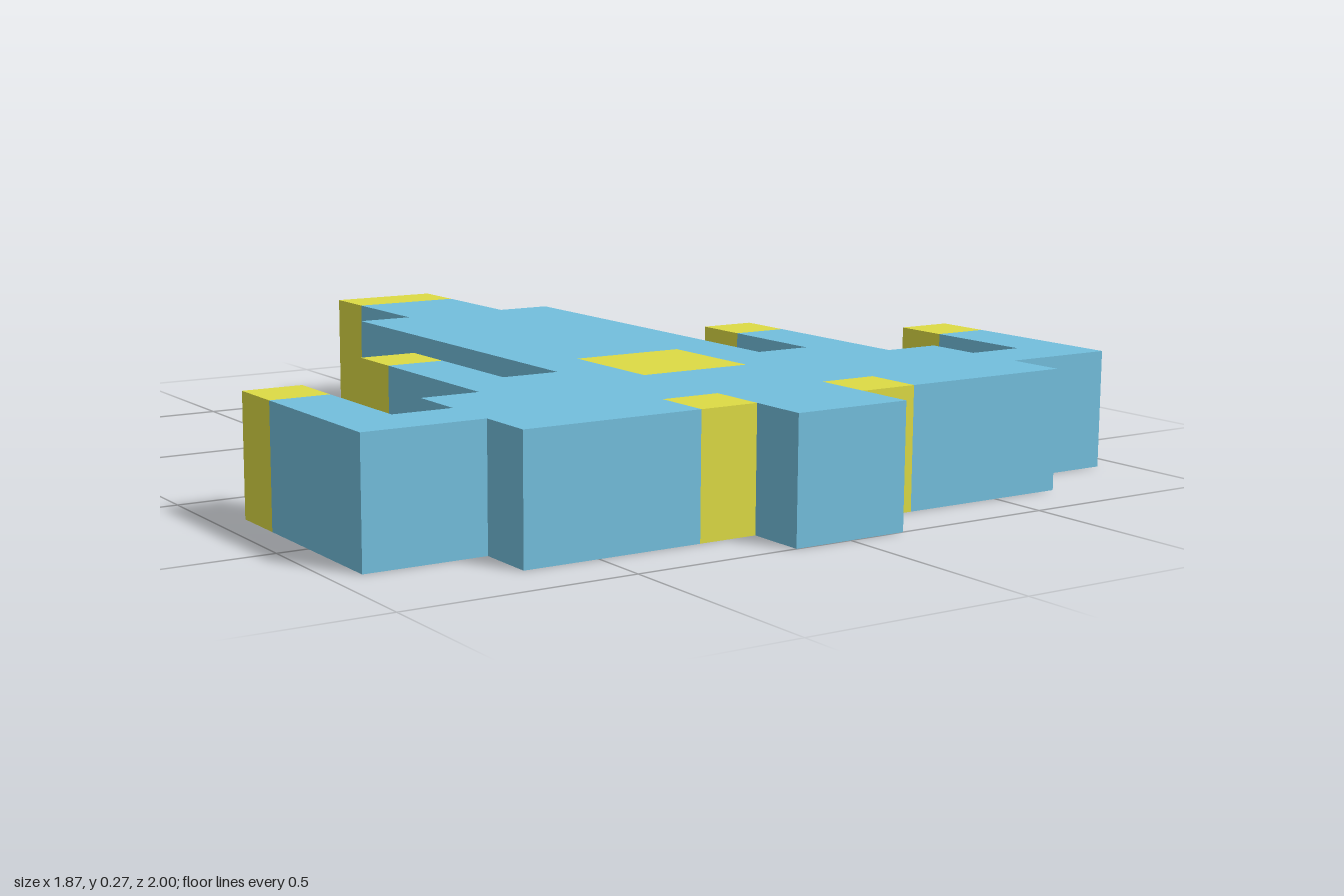
import * as THREE from 'three';

const U = 2 / 15;      // one grid cell
const HEIGHT = 2 * U;  // the whole ship is two cells thick

const blue = new THREE.MeshStandardMaterial({ color: 0x73bfdd });
const yellow = new THREE.MeshStandardMaterial({ color: 0xdddb44 });

// Cell column and row (row 0 at the nose, z = -1) to shape coordinates (y = -z)
const point = ([col, row]) => new THREE.Vector2(col * U, 1 - row * U);

// Full-height yellow block spanning the given cells
function block(name, x0, x1, row0, row1) {
  const geometry = new THREE.BoxGeometry((x1 - x0) * U, HEIGHT, (row1 - row0) * U);
  const mesh = new THREE.Mesh(geometry, yellow);
  mesh.name = name;
  mesh.position.set(((x0 + x1) / 2) * U, HEIGHT / 2, ((row0 + row1) / 2) * U - 1);
  return mesh;
}

export function createModel() {
  const ship = new THREE.Group();
  ship.name = 'pixelSpaceship';

  // Hull: half outline from nose to tail, mirrored
  const half = [
    [1, 1], [1, 3], [2, 3], [2, 10],          // nose and fuselage
    [3, 10], [3, 8], [4, 8], [4, 11],         // inner cannon
    [5, 11], [5, 12], [6, 12], [6, 10],       // wing and outer cannon
    [7, 10], [7, 13], [5, 13], [5, 14],
    [2, 14], [2, 13], [1, 13], [1, 15],       // engine notch and tail
  ];
  const mirrored = half.map(([col, row]) => [-col, row]).reverse();
  const outline = new THREE.Shape([...half, ...mirrored].map(point));
  outline.holes.push(new THREE.Path([[-1, 9], [1, 9], [1, 11], [-1, 11]].map(point)));

  const hullGeometry = new THREE.ExtrudeGeometry(outline, { depth: HEIGHT, bevelEnabled: false });
  hullGeometry.rotateX(-Math.PI / 2);
  const hull = new THREE.Mesh(hullGeometry, blue);
  hull.name = 'hull';
  ship.add(hull);

  // Central yellow parts
  ship.add(block('noseTip', -1, 1, 0, 1), block('cockpit', -1, 1, 9, 11));

  // Paired yellow parts
  for (const [side, s] of [['left', 1], ['right', -1]]) {
    const pair = (name, a, b, row0, row1) =>
      ship.add(block(side + name, Math.min(s * a, s * b), Math.max(s * a, s * b), row0, row1));
    pair('InnerCannonTip', 3, 4, 7, 8);
    pair('OuterCannonTip', 6, 7, 9, 10);
    pair('Engine', 1, 2, 13, 14);
  }

  return ship;
}
